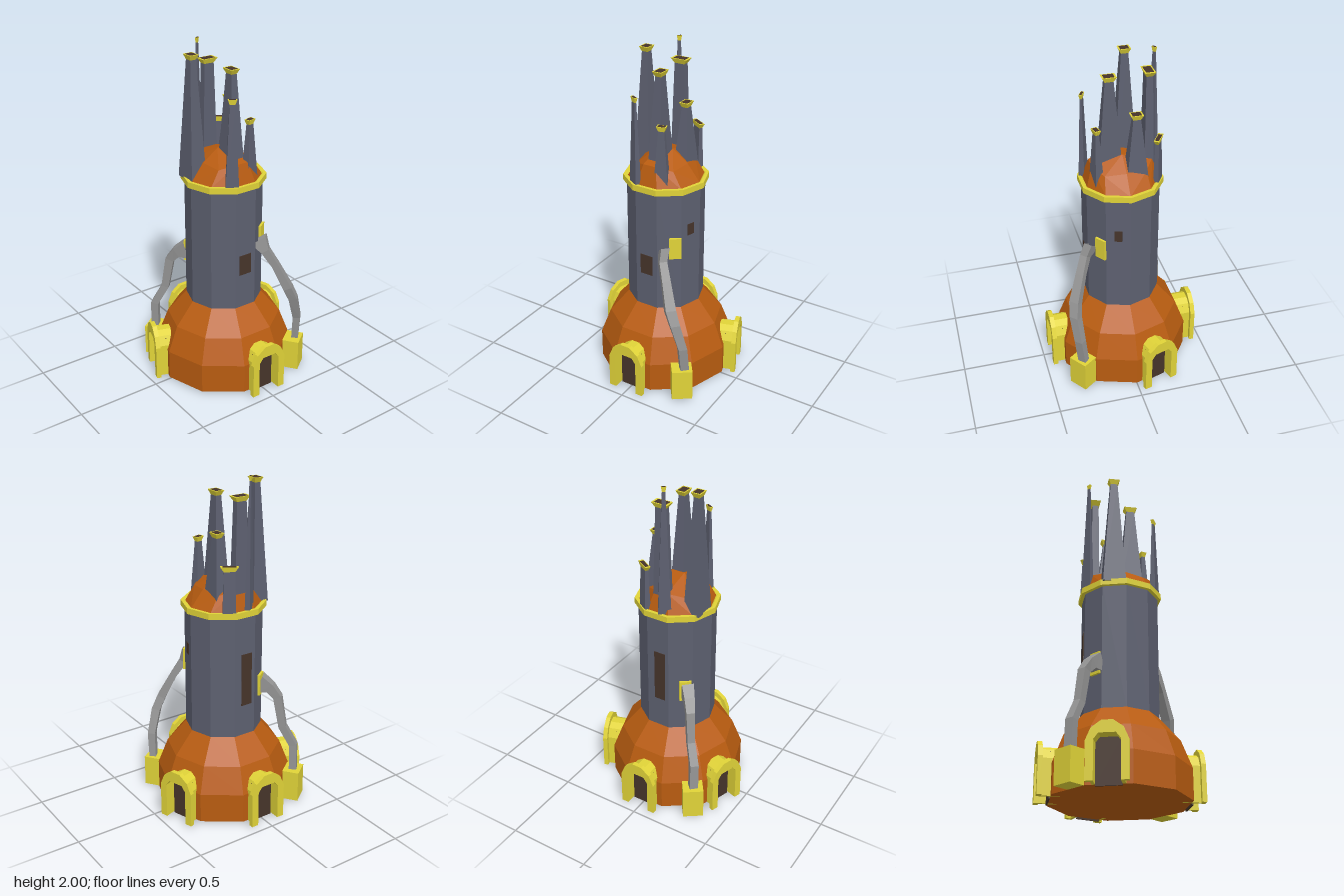
import * as THREE from 'three';
import { ConvexGeometry } from 'three/addons/geometries/ConvexGeometry.js';

export function createModel() {
  const root = new THREE.Group();
  const mat = (name, color, side = THREE.FrontSide) => {
    const m = new THREE.MeshStandardMaterial({ color, flatShading: true, side });
    m.name = name;
    return m;
  };
  const orange = mat('rust orange', 0xb85c10);
  const yellow = mat('brass yellow', 0xe0d338);
  const slate = mat('slate grey', 0x5d6070);
  const steel = mat('pipe grey', 0x949494);
  const brown = mat('dark brown', 0x46342a);

  const add = (parent, name, geo, material, x = 0, y = 0, z = 0) => {
    const m = new THREE.Mesh(geo, material);
    m.name = name;
    m.position.set(x, y, z);
    parent.add(m);
    return m;
  };
  const group = (name, theta = 0, x = 0, z = 0) => {
    const g = new THREE.Group();
    g.name = name;
    g.rotation.y = theta;
    g.position.set(x, 0, z);
    root.add(g);
    return g;
  };
  const deg = THREE.MathUtils.degToRad;
  const lathe = pts => new THREE.LatheGeometry(pts.map(p => new THREE.Vector2(...p)), 10);

  // Ten-sided base dome, tower and collar
  add(root, 'baseDome', lathe([[0, 0.01], [0.4, 0.01], [0.4, 0.19], [0.34, 0.345], [0.225, 0.48], [0, 0.48]]), orange);
  add(root, 'tower', lathe([[0.225, 0.47], [0.225, 1.23]]), slate);
  add(root, 'collar', lathe([[0.22, 1.22], [0.246, 1.22], [0.246, 1.255], [0.226, 1.255], [0.21, 1.245]]), yellow);

  // Faceted roof with a gently peaked crown
  const roof = [];
  for (let i = 0; i < 10; i++) {
    const a = deg(36 * i);
    roof.push(new THREE.Vector3(0.222 * Math.sin(a), 1.245, 0.222 * Math.cos(a)));
  }
  for (const s of [-1, 1]) {
    roof.push(new THREE.Vector3(0, 1.415, s * 0.042), new THREE.Vector3(0, 1.345, s * 0.14));
    for (const t of [-1, 1]) {
      roof.push(new THREE.Vector3(t * 0.175, 1.365, s * 0.04), new THREE.Vector3(t * 0.12, 1.335, s * 0.12));
    }
  }
  add(root, 'roof', new ConvexGeometry(roof), orange);

  // Tapered box: bottom w0 x d0, top w1 x d1
  const frustum = (w0, d0, w1, d1, h) => {
    const g = new THREE.BoxGeometry(1, h, 1);
    const p = g.attributes.position;
    for (let i = 0; i < p.count; i++) {
      const top = p.getY(i) > 0;
      p.setX(i, p.getX(i) * (top ? w1 : w0));
      p.setZ(i, p.getZ(i) * (top ? d1 : d0));
    }
    return g;
  };

  // Chimneys: x, z, top, base w, base d, cap w, cap d, turn
  const chimneys = [
    [-0.198, 0.038, 2.0, 0.03, 0.075, 0.014, 0.028, 36],
    [-0.155, 0.0, 1.89, 0.055, 0.1, 0.06, 0.1, 0],
    [-0.066, 0.168, 1.955, 0.135, 0.1, 0.068, 0.058, 0],
    [0.066, -0.004, 1.88, 0.15, 0.092, 0.08, 0.058, 0],
    [0.154, -0.067, 1.605, 0.055, 0.085, 0.036, 0.055, 15],
    [0.195, 0.082, 1.755, 0.034, 0.075, 0.018, 0.05, -30],
    [-0.193, -0.094, 1.52, 0.034, 0.075, 0.03, 0.1, -32],
    [-0.066, -0.09, 1.68, 0.135, 0.1, 0.07, 0.055, 0],
  ];
  for (const [x, z, top, w, d, cw, cd, turn] of chimneys) {
    const g = group('chimney', deg(turn), x, z);
    const h = top - 0.028 - 1.245;
    add(g, 'chimneyShaft', frustum(w, d, cw * 0.62, cd * 0.62, h), slate, 0, 1.245 + h / 2);
    add(g, 'chimneyCap', frustum(cw * 0.62, cd * 0.62, cw, cd, 0.028), yellow, 0, top - 0.014);
    add(g, 'chimneyOpening', new THREE.BoxGeometry(cw * 0.74, 0.002, cd * 0.74), brown, 0, top);
  }

  // Windows on tower faces: face angle, offset, y, width, height
  const windows = [
    [90, 0, 0.753, 0.08, 0.125],
    [162, 0, 0.98, 0.045, 0.07],
    [-90, 0.012, 0.83, 0.07, 0.32],
  ];
  for (const [a, off, y, w, h] of windows) {
    const g = group('window', deg(a));
    add(g, 'windowPane', new THREE.BoxGeometry(w, h, 0.006), brown, off, y, 0.214);
  }

  // Arched doorways, open at the bottom
  const half = (pts) => [...pts, ...pts.slice().reverse().map(([x, y]) => [-x, y])];
  const arch = (outer, inner, depth) => {
    const pts = [...half(outer), ...half(inner).reverse()];
    const s = new THREE.Shape(pts.map(p => new THREE.Vector2(...p)));
    return new THREE.ExtrudeGeometry(s, { depth, bevelEnabled: false });
  };
  const opening = [[0.07, 0.01], [0.07, 0.225], [0.045, 0.257]];
  const frame = [[0.113, 0.01], [0.113, 0.22], [0.085, 0.285], [0.03, 0.325]];
  const porch = [[0.088, 0.01], [0.088, 0.215], [0.062, 0.27], [0.025, 0.292]];
  for (const a of [90, -90, -18, -162]) {
    const g = group('doorway', deg(a));
    add(g, 'doorFrame', arch(frame, opening, 0.027), yellow, 0, 0, 0.43);
    add(g, 'doorPorch', arch(porch, opening, 0.1), yellow, 0, 0, 0.33);
    add(g, 'door', new THREE.BoxGeometry(0.14, 0.255, 0.008), brown, 0, 0.1275, 0.386);
  }

  // Square pipe lofted through points [x, y, z, width, height]
  const pipe = (pts) => {
    const c = pts.map(p => new THREE.Vector3(p[0], p[1], p[2]));
    const pos = [], idx = [];
    c.forEach((p, i) => {
      const t = c[Math.min(i + 1, c.length - 1)].clone().sub(c[Math.max(i - 1, 0)]).normalize();
      const out = new THREE.Vector3(c[0].x, 0, c[0].z).normalize();
      const side = new THREE.Vector3().crossVectors(out, new THREE.Vector3(0, 1, 0));
      const up = new THREE.Vector3().crossVectors(side, t).normalize();
      const [w, h] = pts[i].slice(3);
      for (const [u, v] of [[-1, -1], [1, -1], [1, 1], [-1, 1]]) {
        const q = p.clone().addScaledVector(side, u * w / 2).addScaledVector(up, v * h / 2);
        pos.push(q.x, q.y, q.z);
      }
      if (i) for (let k = 0; k < 4; k++) {
        const a = 4 * (i - 1) + k, b = 4 * (i - 1) + (k + 1) % 4;
        idx.push(a, b, b + 4, a, b + 4, a + 4);
      }
    });
    const g = new THREE.BufferGeometry();
    g.setAttribute('position', new THREE.Float32BufferAttribute(pos, 3));
    g.setIndex(idx);
    g.computeVertexNormals();
    return g;
  };
  steel.side = THREE.DoubleSide;
  add(root, 'leftPipe', pipe([
    [0.31, 0.19, -0.315, 0.05, 0.04], [0.327, 0.35, -0.31, 0.05, 0.045], [0.34, 0.5, -0.265, 0.055, 0.05],
    [0.33, 0.58, -0.23, 0.06, 0.05], [0.28, 0.73, -0.17, 0.05, 0.04], [0.242, 0.82, -0.125, 0.045, 0.05],
    [0.2, 0.88, -0.108, 0.05, 0.1],
  ]), steel);
  add(root, 'rightPipe', pipe([
    [-0.31, 0.19, 0.3, 0.05, 0.045], [-0.305, 0.36, 0.3, 0.05, 0.045], [-0.26, 0.48, 0.25, 0.045, 0.045],
    [-0.235, 0.67, 0.228, 0.05, 0.05], [-0.2, 0.725, 0.2, 0.06, 0.06], [-0.15, 0.75, 0.157, 0.07, 0.11],
  ]), steel);

  // Pipe pedestals and wall plates
  for (const [a, plateX, plateY] of [[126, 0.035, 0.88], [-54, 0.028, 0.748]]) {
    const g = group('pipeMount', deg(a));
    add(g, 'pedestal', new THREE.BoxGeometry(0.12, 0.19, 0.1), yellow, 0.058, 0.105, 0.427);
    add(g, 'wallPlate', new THREE.BoxGeometry(0.07, 0.13, 0.016), yellow, plateX, plateY, 0.22);
  }
  return root;
}
